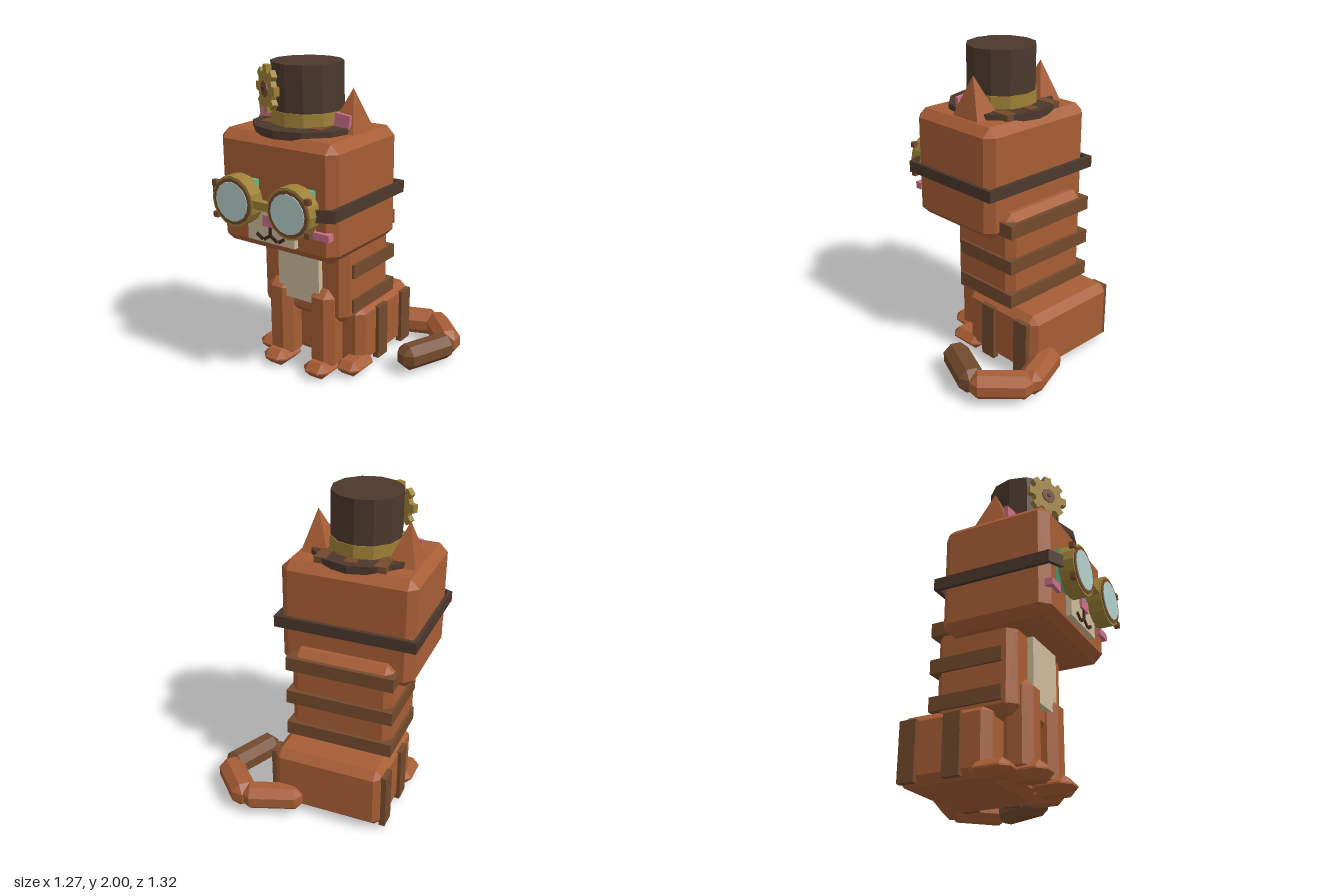
import * as THREE from 'three';
import { ConvexGeometry } from 'three/addons/geometries/ConvexGeometry.js';

const mat = (name, color) => {
  const m = new THREE.MeshStandardMaterial({ color, flatShading: true });
  m.name = name;
  return m;
};

export function createModel() {
  const fur = mat('rustFur', 0xa75d35);
  const stripe = mat('brownStripe', 0x734a2c);
  const cream = mat('creamFur', 0xcdbb9a);
  const pink = mat('pink', 0xcc7088);
  const felt = mat('darkFelt', 0x4b382c);
  const brass = mat('brass', 0x9e8136);
  const eye = mat('greenEye', 0x62b58c);
  const glass = mat('paleGlass', 0xb4d0ca);
  const ink = mat('mouthBrown', 0x3f2a20);

  const model = new THREE.Group();
  model.name = 'catWithTopHat';
  // The cat's own mid-plane sits beside the centre because the tail sweeps left
  const cat = new THREE.Group();
  cat.name = 'cat';
  cat.position.x = -0.175;
  model.add(cat);

  const add = (name, geo, material, x = 0, y = 0, z = 0) => {
    const m = new THREE.Mesh(geo, material);
    m.name = name;
    m.position.set(x, y, z);
    cat.add(m);
    return m;
  };
  const box = (name, material, w, h, d, x, y, z) =>
    add(name, new THREE.BoxGeometry(w, h, d), material, x, y, z);
  const V = (x, y, z) => new THREE.Vector3(x, y, z);

  // Box with all edges cut at 45 degrees
  const chamfered = (name, material, w, h, d, c, x, y, z) => {
    const pts = [];
    for (const i of [-1, 1]) for (const j of [-1, 1]) for (const k of [-1, 1]) {
      const a = w / 2, b = h / 2, e = d / 2;
      pts.push(V(i * a, j * (b - c), k * (e - c)), V(i * (a - c), j * b, k * (e - c)),
        V(i * (a - c), j * (b - c), k * e));
    }
    return add(name, new ConvexGeometry(pts), material, x, y, z);
  };
  // Cylinder whose axis points along z
  const disc = (name, material, r, depth, sides, x, y, z) =>
    add(name, new THREE.CylinderGeometry(r, r, depth, sides).rotateX(Math.PI / 2), material, x, y, z);
  // Flat bar between two points of the face
  const bar = (name, x1, y1, x2, y2, z) => {
    const m = box(name, ink, Math.hypot(x2 - x1, y2 - y1), 0.02, 0.016, (x1 + x2) / 2, (y1 + y2) / 2, z);
    m.rotation.z = Math.atan2(y2 - y1, x2 - x1);
  };

  // Body
  chamfered('head', fur, 0.87, 0.72, 0.7, 0.055, 0, 1.24, 0.17);
  chamfered('torso', fur, 0.67, 0.68, 0.52, 0.05, 0, 0.71, 0);
  chamfered('haunches', fur, 0.73, 0.42, 0.61, 0.05, 0, 0.23, -0.185);
  box('bellyPatch', cream, 0.32, 0.41, 0.06, 0, 0.695, 0.268);
  [0.485, 0.72, 0.96].forEach(y => box('backStripe', stripe, 0.705, 0.09, 0.47, 0, y, -0.048));
  [-0.19, 0, 0.19].forEach(x => box('crownStripe', stripe, 0.075, 0.05, 0.48, x, 1.615, 0.12));

  // Face
  box('muzzle', cream, 0.355, 0.2, 0.04, 0, 1.053, 0.535);
  box('nose', pink, 0.1, 0.07, 0.05, 0, 1.095, 0.545);
  bar('mouthLine', 0, 1.06, 0, 1.0, 0.556);

  // Mirrored parts
  for (const s of [-1, 1]) {
    chamfered('frontLeg', fur, 0.185, 0.56, 0.19, 0.05, s * 0.165, 0.315, 0.225);
    chamfered('frontPaw', fur, 0.19, 0.11, 0.25, 0.05, s * 0.165, 0.055, 0.275);
    chamfered('rearPaw', fur, 0.18, 0.1, 0.25, 0.045, s * 0.315, 0.052, 0.125);
    for (const z of [-0.105, -0.395])
      box('haunchStripe', stripe, 0.04, 0.37, 0.11, s * 0.367, 0.215, z);

    const ear = [V(0.175, 1.58, -0.01), V(0.37, 1.58, -0.01), V(0.37, 1.58, 0.23),
      V(0.175, 1.58, 0.23), V(0.293, 1.855, 0.11)].map(p => p.setX(p.x * s));
    add('ear', new ConvexGeometry(ear), fur);
    const inner = box('innerEar', pink, 0.105, 0.08, 0.025, s * 0.285, 1.675, 0.21);
    inner.rotation.z = -s * 0.12;

    box('eye', eye, 0.2, 0.24, 0.05, s * 0.21, 1.21, 0.538);
    box('cheek', pink, 0.115, 0.045, 0.05, s * 0.36, 1.063, 0.52);
    bar('mouthInner', 0, 1.005, s * 0.05, 0.972, 0.556);
    bar('mouthOuter', s * 0.06, 0.972, s * 0.105, 1.002, 0.556);

    // Goggle cup, rim, lens and bolts
    disc('goggleCup', brass, 0.157, 0.095, 16, s * 0.21, 1.205, 0.603);
    disc('goggleRim', stripe, 0.143, 0.008, 16, s * 0.21, 1.205, 0.652);
    disc('lens', glass, 0.122, 0.008, 16, s * 0.21, 1.205, 0.656);
    for (const t of [-1, 1])
      box('goggleBolt', stripe, 0.035, 0.035, 0.03, s * 0.345, 1.2 + t * 0.1, 0.641);

    // Strap side and its bend toward the cup
    box('strapSide', felt, 0.025, 0.075, 0.73, s * 0.447, 1.203, 0.18);
    const bend = box('strapBend', felt, 0.115, 0.075, 0.022, s * 0.408, 1.203, 0.558);
    bend.rotation.y = s * 0.43;
  }
  box('goggleBridge', brass, 0.12, 0.05, 0.045, 0, 1.212, 0.623);
  box('strapBack', felt, 0.92, 0.075, 0.028, 0, 1.203, -0.196);

  // Top hat
  add('hatBrim', new THREE.CylinderGeometry(0.34, 0.34, 0.05, 12), felt, 0, 1.61, 0.17);
  add('hatCrown', new THREE.CylinderGeometry(0.223, 0.223, 0.38, 12), felt, 0, 1.81, 0.17);
  add('hatBand', new THREE.CylinderGeometry(0.229, 0.229, 0.085, 12), brass, 0, 1.675, 0.17);

  // Gear on the hat
  const outline = new THREE.Shape();
  const teeth = 8;
  for (let i = 0; i < teeth; i++) {
    const a = (i / teeth) * Math.PI * 2;
    [[-0.3, 0.107], [-0.24, 0.143], [0.24, 0.143], [0.3, 0.107]].forEach(([da, r], j) => {
      const t = a + da * (r > 0.12 ? 0.75 : 0.85);
      outline[i + j ? 'lineTo' : 'moveTo'](Math.cos(t) * r, Math.sin(t) * r);
    });
  }
  outline.closePath();
  const gear = new THREE.Group();
  gear.name = 'hatGear';
  gear.position.set(-0.13, 1.85, 0.39);
  gear.rotation.y = -0.5;
  const gearPlate = add('gearPlate',
    new THREE.ExtrudeGeometry(outline, { depth: 0.035, bevelEnabled: false }), brass, 0, 0, -0.018);
  const hub = disc('gearHub', stripe, 0.05, 0.07, 8, 0, 0, -0.01);
  const pin = disc('gearPin', ink, 0.015, 0.01, 6, 0, 0, 0.026);
  gear.add(gearPlate, hub, pin);
  cat.add(gear);

  // Tail: three blocks curling round to the left
  [[fur, 0.39, 0.35, -0.535, 0.35], [fur, 0.39, 0.63, -0.485, -0.785],
    [stripe, 0.41, 0.67, -0.185, -1.975]].forEach(([m, len, x, z, turn], i) => {
    const t = chamfered(i < 2 ? 'tailSegment' : 'tailTip', m, len, 0.165, 0.165, 0.05, x, 0.11, z);
    t.rotation.y = turn;
  });

  return model;
}
